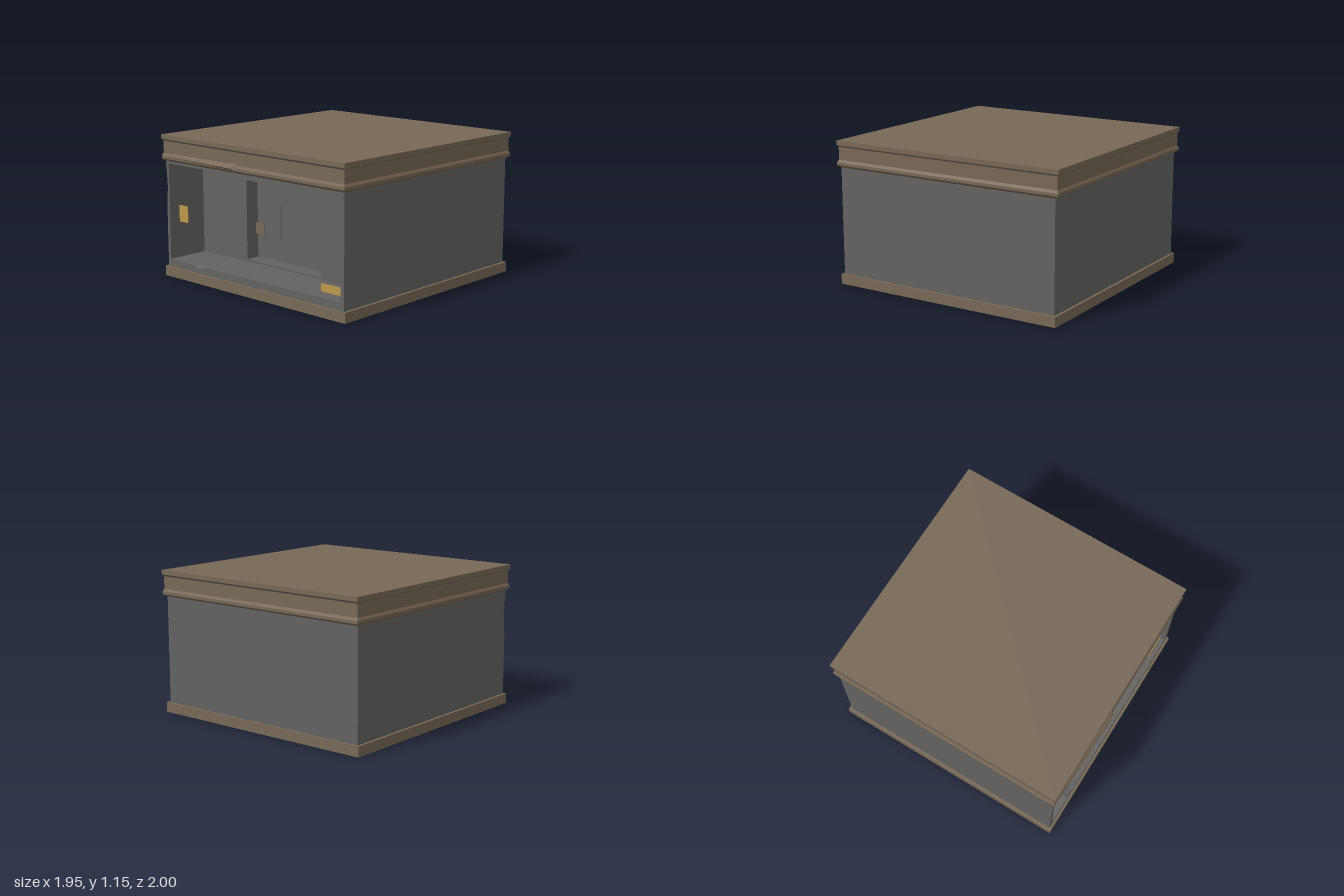
import * as THREE from 'three';

const paint = (name, color) => {
  const m = new THREE.MeshStandardMaterial({ color });
  m.name = name;
  return m;
};

export function createModel() {
  const stone = paint('grey stone', 0x636261);
  const trim = paint('brown stone', 0x776856);
  const gold = paint('gold', 0xbd984b);
  const model = new THREE.Group();

  const add = (name, geometry, material) => {
    const mesh = new THREE.Mesh(geometry, material);
    mesh.name = name;
    model.add(mesh);
    return mesh;
  };

  const block = (name, material, x0, x1, y0, y1, z0, z1) =>
    add(name, new THREE.BoxGeometry(x1 - x0, y1 - y0, z1 - z0), material)
      .position.set((x0 + x1) / 2, (y0 + y1) / 2, (z0 + z1) / 2);

  const points = (list) => list.map(([x, y]) => new THREE.Vector2(x, y));
  const rect = (x0, x1, y0, y1) => [[x0, y0], [x1, y0], [x1, y1], [x0, y1]];

  // Slab with an opening; each chip [x, y, dx, dy] moves one point of its front edge
  const slab = (name, material, outline, hole, z0, z1, chips = []) => {
    const shape = new THREE.Shape(points(outline));
    if (hole) shape.holes.push(new THREE.Path(points(hole)));
    const g = new THREE.ExtrudeGeometry(shape, { depth: z1 - z0, bevelEnabled: false });
    g.translate(0, 0, z0);
    const p = g.attributes.position;
    for (let i = 0; i < p.count; i++) {
      if (p.getZ(i) < z1 - 1e-4) continue;
      for (const [x, y, dx, dy] of chips) {
        if (Math.hypot(p.getX(i) - x, p.getY(i) - y) < 1e-4) {
          p.setXY(i, x + dx, y + dy);
          break;
        }
      }
    }
    g.computeVertexNormals();
    add(name, g, material);
  };

  // Flat-shaded solid from quads and triangles of corner points
  const facets = (faces) => {
    const pos = [];
    for (const f of faces) {
      for (let i = 1; i < f.length - 1; i++) pos.push(...f[0], ...f[i], ...f[i + 1]);
    }
    const g = new THREE.BufferGeometry();
    g.setAttribute('position', new THREE.Float32BufferAttribute(pos, 3));
    g.computeVertexNormals();
    return g;
  };

  // Plinth with a small chip in its front edge
  block('plinth', trim, -0.977, 0.977, 0, 0.08, -0.985, 0.94);
  slab('plinthFront', trim,
    [[-0.977, 0], [0.977, 0], [0.977, 0.08], [0.75, 0.08], [0.69, 0.08], [0.64, 0.08], [-0.977, 0.08]],
    null, 0.94, 0.972, [[0.69, 0.08, 0, -0.025]]);

  // Body: solid rear, inner niche, outer niche and chipped front lip
  const wall = rect(-0.955, 0.955, 0.08, 0.945);
  block('bodyRear', stone, -0.955, 0.955, 0.08, 0.945, -0.965, 0.48);
  slab('innerNiche', stone, wall, rect(-0.41, 0.4, 0.16, 0.8), 0.48, 0.6);
  slab('outerNiche', stone, wall, rect(-0.925, 0.92, 0.14, 0.92), 0.6, 0.9);
  slab('frontLip', stone,
    [...wall, [-0.955, 0.92], [-0.955, 0.74], [-0.955, 0.55]],
    [[-0.925, 0.14], [-0.68, 0.14], [-0.6, 0.14], [-0.46, 0.14], [0.92, 0.14], [0.92, 0.92], [-0.925, 0.92]],
    0.9, 0.955, [[-0.955, 0.74, 0.012, 0], [-0.6, 0.14, 0, -0.025]]);

  // Cornice: rectangular rings [y, half width, back z, front z]
  const rings = [
    [0.938, 0.955, -0.965, 0.955],
    [0.958, 0.977, -0.998, 0.978],
    [0.98, 0.977, -0.998, 0.978],
    [1.0, 0.966, -0.987, 0.967],
    [1.1, 0.966, -0.987, 0.967],
    [1.115, 0.977, -1, 0.98],
    [1.15, 0.977, -1, 0.98],
  ].map(([y, w, b, f]) => [[-w, y, f], [w, y, f], [w, y, b], [-w, y, b]]);
  const faces = [[...rings[0]].reverse(), rings[rings.length - 1]];
  for (let r = 0; r < rings.length - 1; r++) {
    for (let i = 0; i < 4; i++) {
      const j = (i + 1) % 4;
      faces.push([rings[r][i], rings[r][j], rings[r + 1][j], rings[r + 1][i]]);
    }
  }
  add('cornice', facets(faces), trim);

  // Displaced piece of the front moulding
  const a = [-0.975, 1.003, 0.966], b = [-0.115, 1.01, 0.966];
  const c = [-0.975, 0.98, 0.979], d = [-0.17, 0.976, 1];
  const e = [-0.975, 0.96, 0.977], f = [-0.115, 0.958, 0.977];
  add('shiftedMoulding', facets([[a, c, d], [a, d, b], [c, e, f], [c, f, d], [d, f, b]]), trim);

  // Thin plates standing just inside the opening
  const plate = (name, material, x0, x1, y0, y1) =>
    block(name, material, x0, x1, y0, y1, 0.915, 0.919);
  plate('tallPanel', stone, 0.135, 0.3, 0.49, 0.765);
  plate('smallPanel', trim, 0.03, 0.115, 0.497, 0.585);
  plate('leftPlaque', gold, -0.85, -0.75, 0.455, 0.59);
  plate('rightPlaque', gold, 0.695, 0.89, 0.175, 0.235);

  return model;
}
